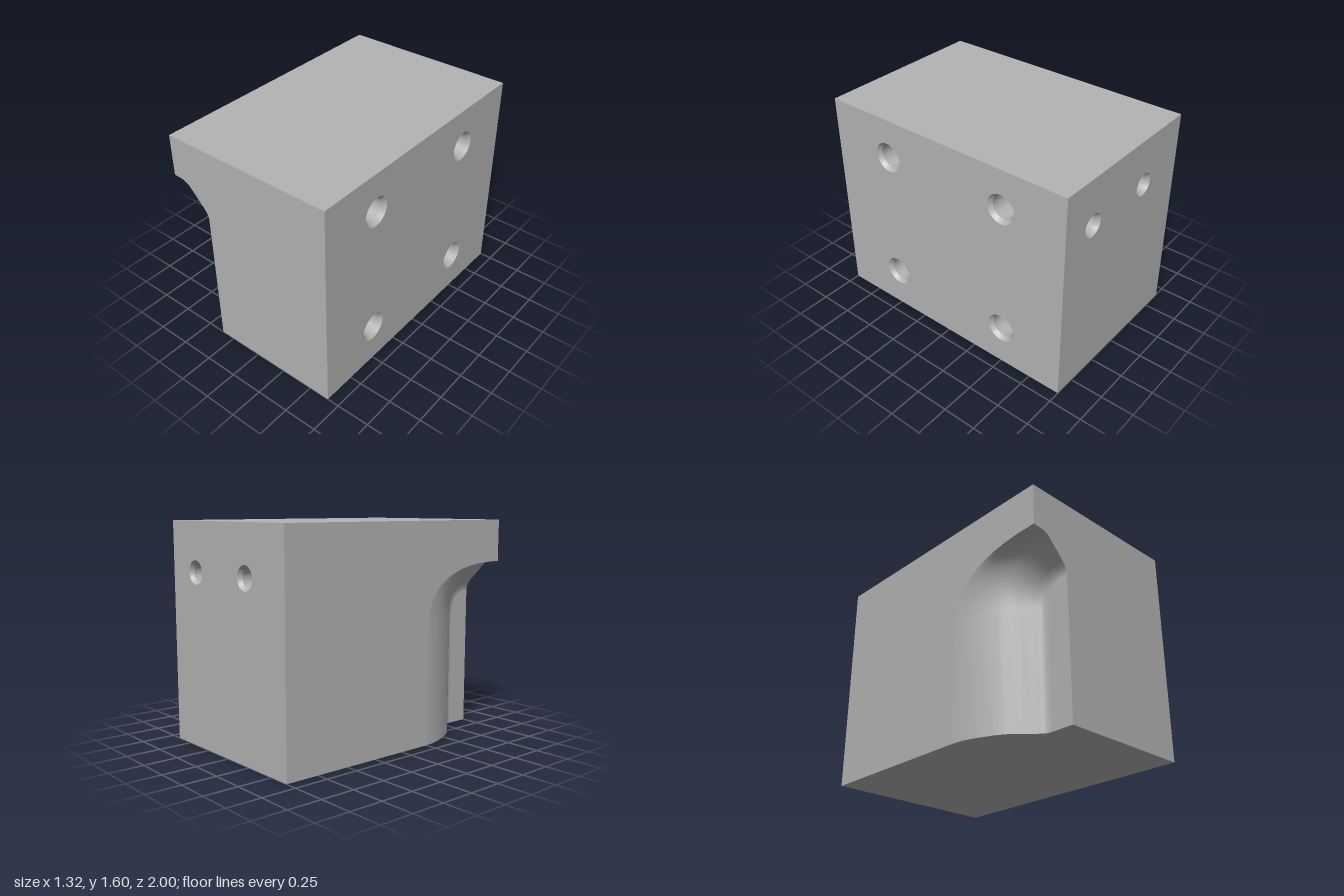
import * as THREE from 'three';
import { toCreasedNormals } from 'three/addons/utils/BufferGeometryUtils.js';

const W = 0.66, H = 1.6, D = 1;
// Relief cross-section: x position, z of its wall, y of its ceiling
const LEVELS = [
  [-0.66, 0.25, 1.29], [-0.65, 0.34, 1.29], [-0.62, 0.44, 1.288],
  [-0.57, 0.55, 1.283], [-0.53, 0.615, 1.265], [-0.47, 0.68, 1.204],
  [-0.4, 0.748, 1.132], [-0.375, 0.775, 1.1], [-0.363, 0.8, 1.07], [-0.36, 0.83, 1.05],
];
const BEND = 0.85, STEPS = 28;

// Outline of the relief at one level as [z, y]: a straight wall bending into the ceiling
function reliefPath([, wall, ceiling]) {
  const path = [[wall, 0]];
  for (let i = 0; i <= STEPS; i++) {
    const a = (i / STEPS) * Math.PI / 2;
    const c = Math.max(0, Math.cos(a)) ** 0.8, s = Math.sin(a) ** 0.8;
    path.push([D - (D - wall) * c, BEND + (ceiling - BEND) * s]);
  }
  return path;
}

export function createModel() {
  const group = new THREE.Group();
  const grey = new THREE.MeshStandardMaterial({ color: 0xb3b3b3 });
  grey.name = 'machined grey';

  const add = (name, geometry) => {
    const mesh = new THREE.Mesh(geometry, grey);
    mesh.name = name;
    group.add(mesh);
    return mesh;
  };

  // Flat face in the plane of axes u and v, pushed out along u x v
  function addFace(name, u, v, offset, points, holes = []) {
    const shape = new THREE.Shape(points.map(p => new THREE.Vector2(p[0], p[1])));
    for (const [x, y, r] of holes) {
      shape.holes.push(new THREE.Path().absarc(x, y, r, 0, Math.PI * 2, true));
    }
    const U = new THREE.Vector3(...u), V = new THREE.Vector3(...v);
    const N = U.clone().cross(V);
    const matrix = new THREE.Matrix4().makeBasis(U, V, N).setPosition(N.clone().multiplyScalar(offset));
    add(name, new THREE.ShapeGeometry(shape, 24).applyMatrix4(matrix));

    // Countersunk blind bores with a conical drill tip
    for (const [x, y, r] of holes) {
      const inner = r * 0.8;
      const profile = [[r, 0], [inner, -0.03], [inner, -0.36], [0, -0.41]]
        .map(p => new THREE.Vector2(p[0], p[1]));
      const bore = new THREE.LatheGeometry(profile, 48).rotateX(Math.PI / 2);
      bore.translate(x, y, 0).applyMatrix4(matrix);
      add(name + 'Bore', toCreasedNormals(bore, 0.4));
    }
  }

  const X = [1, 0, 0], Y = [0, 1, 0], Z = [0, 0, 1];
  const paths = LEVELS.map(reliefPath);

  // Block faces
  addFace('topFace', X, [0, 0, -1], H, [[-W, -D], [W, -D], [W, D], [-W, D]]);
  addFace('bottomFace', X, Z, 0,
    [[-W, -D], [W, -D], [W, D], [-0.36, D], ...LEVELS.map(l => [l[0], l[1]]).reverse()]);
  addFace('frontFace', X, Y, D,
    [[-0.36, 0], [W, 0], [W, H], [-W, H], ...LEVELS.map(l => [l[0], l[2]])]);
  addFace('rightSideFace', Z, Y, W, [[-D, 0], ...paths[0], [D, H], [-D, H]]);

  // Faces with bores
  const sideHoles = [];
  for (const z of [-0.5, 0.5]) for (const y of [0.305, 1.305]) sideHoles.push([z, y, 0.11]);
  addFace('leftSideFace', [0, 0, -1], Y, W, [[-D, 0], [D, 0], [D, H], [-D, H]], sideHoles);
  addFace('backFace', [-1, 0, 0], Y, D, [[-W, 0], [W, 0], [W, H], [-W, H]],
    [[-0.365, 1.245, 0.085], [0.235, 1.245, 0.085]]);

  // Relief floor
  addFace('reliefFloor', Z, Y, 0.36, [...paths[paths.length - 1], [D, 0]]);

  // Curved relief wall lofted through the levels
  const positions = [], index = [], n = paths[0].length;
  paths.forEach((path, i) => path.forEach(([z, y], j) => {
    positions.push(LEVELS[i][0], y, z);
    if (i < paths.length - 1 && j < n - 1) {
      const a = i * n + j, b = a + n;
      index.push(a, b, a + 1, b, b + 1, a + 1);
    }
  }));
  const wall = new THREE.BufferGeometry();
  wall.setAttribute('position', new THREE.Float32BufferAttribute(positions, 3));
  wall.setIndex(index);
  wall.computeVertexNormals();
  add('reliefWall', wall);

  return group;
}
